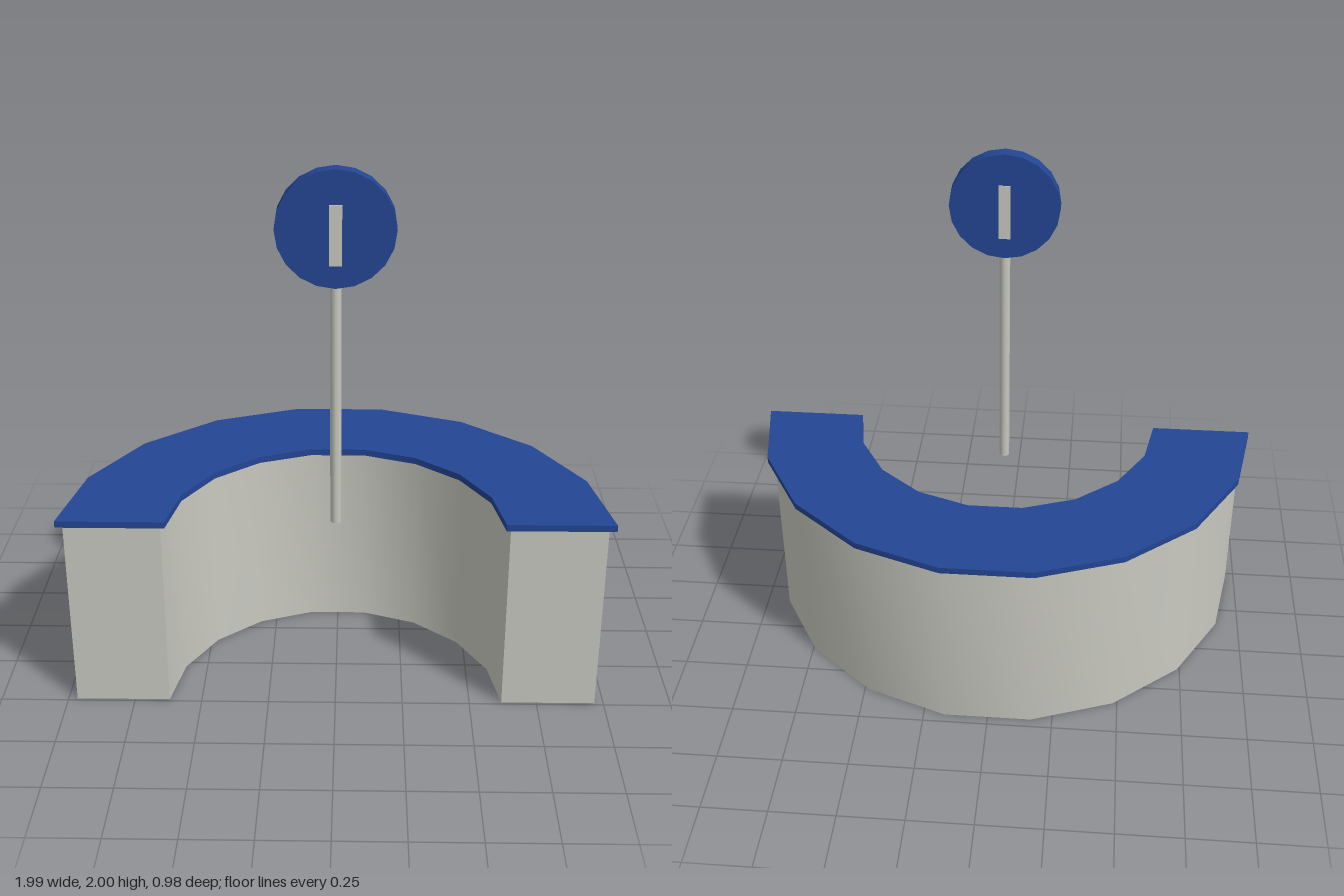
import * as THREE from 'three';
import { toCreasedNormals } from 'three/addons/utils/BufferGeometryUtils.js';

const FRONT_Z = 0.49; // plane of the two open ends
const SIGN_Z = 0.35;

// Half ring opening towards +z, with smooth walls and sharp rims
function halfRing(outer, inner, bottom, height, segments = 9) {
  const points = [];
  for (let i = 0; i <= segments; i++) {
    const a = (i / segments) * Math.PI;
    points.push(new THREE.Vector2(Math.cos(a) * outer, Math.sin(a) * outer));
  }
  for (let i = segments; i >= 0; i--) {
    const a = (i / segments) * Math.PI;
    points.push(new THREE.Vector2(Math.cos(a) * inner, Math.sin(a) * inner));
  }
  const geometry = new THREE.ExtrudeGeometry(new THREE.Shape(points), { depth: height, bevelEnabled: false });
  geometry.rotateX(-Math.PI / 2);
  geometry.translate(0, bottom, FRONT_Z);
  return toCreasedNormals(geometry, 0.6);
}

export function createModel() {
  const grey = new THREE.MeshStandardMaterial({ name: 'warm grey', color: 0xc9c9c1 });
  const blue = new THREE.MeshStandardMaterial({ name: 'deep blue', color: 0x234593 });

  const model = new THREE.Group();
  model.name = 'informationDesk';
  const add = (name, geometry, material, y = 0, z = 0) => {
    const mesh = new THREE.Mesh(geometry, material);
    mesh.name = name;
    mesh.position.set(0, y, z);
    model.add(mesh);
  };

  // Curved desk and its overhanging top
  add('deskBody', halfRing(0.967, 0.62, 0, 0.73), grey);
  add('counterTop', halfRing(0.995, 0.605, 0.73, 0.025), blue);

  // Pole carrying the round sign
  add('signPole', new THREE.CylinderGeometry(0.02, 0.02, 0.91, 8), grey, 1.145, SIGN_Z);
  const disc = new THREE.CylinderGeometry(0.205, 0.205, 0.056, 20);
  disc.rotateX(Math.PI / 2);
  add('signDisc', disc, blue, 1.795, SIGN_Z);

  // Upright bar on both faces of the sign
  for (const [name, side] of [['frontSignBar', 1], ['backSignBar', -1]]) {
    add(name, new THREE.BoxGeometry(0.044, 0.21, 0.006), grey, 1.775, SIGN_Z + side * 0.029);
  }

  return model;
}
